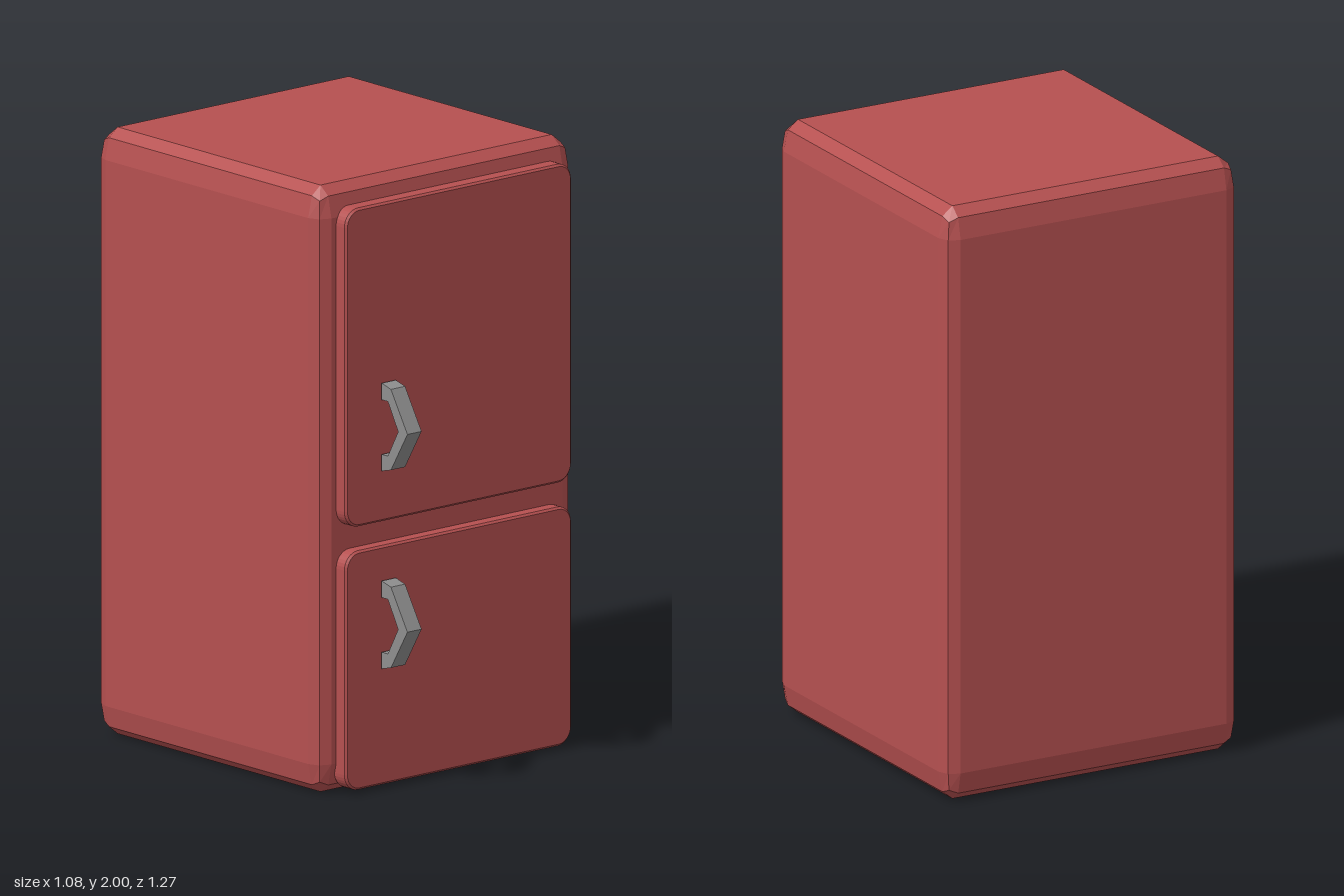
import * as THREE from 'three';

const red = new THREE.MeshStandardMaterial({ color: 0xb55050, flatShading: true });
red.name = 'red enamel';
const grey = new THREE.MeshStandardMaterial({ color: 0x8e8e8e, flatShading: true });
grey.name = 'grey metal';

// Box whose edges are rounded in two steps, with a separate radius per axis
function bevelledBox(size, radius) {
  const geo = new THREE.BoxGeometry(3, 3, 3, 3, 3, 3);
  const pos = geo.attributes.position;
  const p = new THREE.Vector3();
  const half = size.clone().multiplyScalar(0.5).sub(radius);
  for (let i = 0; i < pos.count; i++) {
    p.fromBufferAttribute(pos, i);
    const core = new THREE.Vector3(Math.sign(p.x), Math.sign(p.y), Math.sign(p.z)).multiply(half);
    const dir = new THREE.Vector3(...p.toArray().map((c) => (Math.abs(c) > 1 ? Math.sign(c) : 0)));
    p.copy(core).add(dir.normalize().multiply(radius));
    pos.setXYZ(i, p.x, p.y, p.z);
  }
  geo.computeVertexNormals();
  return geo;
}

// Thin slab with rounded corners and a small bevel round its front
function doorGeometry(x0, x1, y0, y1, z0, z1) {
  const b = 0.007, r = 0.05;
  const [l, d, w, h] = [x0 + b, y0 + b, x1 - x0 - 2 * b, y1 - y0 - 2 * b];
  const s = new THREE.Shape();
  s.moveTo(l + r, d);
  s.lineTo(l + w - r, d);
  s.absarc(l + w - r, d + r, r, -Math.PI / 2, 0);
  s.absarc(l + w - r, d + h - r, r, 0, Math.PI / 2);
  s.absarc(l + r, d + h - r, r, Math.PI / 2, Math.PI);
  s.absarc(l + r, d + r, r, Math.PI, Math.PI * 1.5);
  const geo = new THREE.ExtrudeGeometry(s, {
    depth: z1 - z0 - 2 * b, curveSegments: 4,
    bevelEnabled: true, bevelThickness: b, bevelSize: b, bevelSegments: 1,
  });
  return geo.translate(0, 0, z0 + b);
}

// Angular grip: side profile (z, y) extruded across x
function handleGeometry() {
  const upper = [[0.51, 0.09], [0.54, 0.09], [0.59, 0]];
  const outer = [[0.635, 0], [0.555, 0.133], [0.51, 0.145]];
  const mirror = (list) => list.filter((q) => q[1] > 0).map(([z, y]) => [z, -y]).reverse();
  const outline = [...upper, ...mirror(upper), ...mirror(outer), ...outer];
  const shape = new THREE.Shape(outline.map(([z, y]) => new THREE.Vector2(z, y)));
  const geo = new THREE.ExtrudeGeometry(shape, { depth: 0.06, bevelEnabled: false });
  return geo.rotateY(-Math.PI / 2).translate(-0.265, 0, 0);
}

export function createModel() {
  const group = new THREE.Group();
  group.name = 'refrigerator';
  const add = (name, geo, mat, y = 0, z = 0) => {
    const mesh = new THREE.Mesh(geo, mat);
    mesh.name = name;
    mesh.position.set(0, y, z);
    group.add(mesh);
  };

  // Cabinet
  const cabinet = bevelledBox(new THREE.Vector3(1.084, 2, 1.09), new THREE.Vector3(0.052, 0.1, 0.053));
  add('cabinet', cabinet, red, 1, -0.09);

  // Doors and their handles
  add('upperDoor', doorGeometry(-0.47, 0.49, 0.88, 1.93, 0.44, 0.502), red);
  add('lowerDoor', doorGeometry(-0.47, 0.49, 0.012, 0.8, 0.44, 0.502), red);
  const handle = handleGeometry();
  add('upperHandle', handle, grey, 1.195);
  add('lowerHandle', handle, grey, 0.543);
  return group;
}
